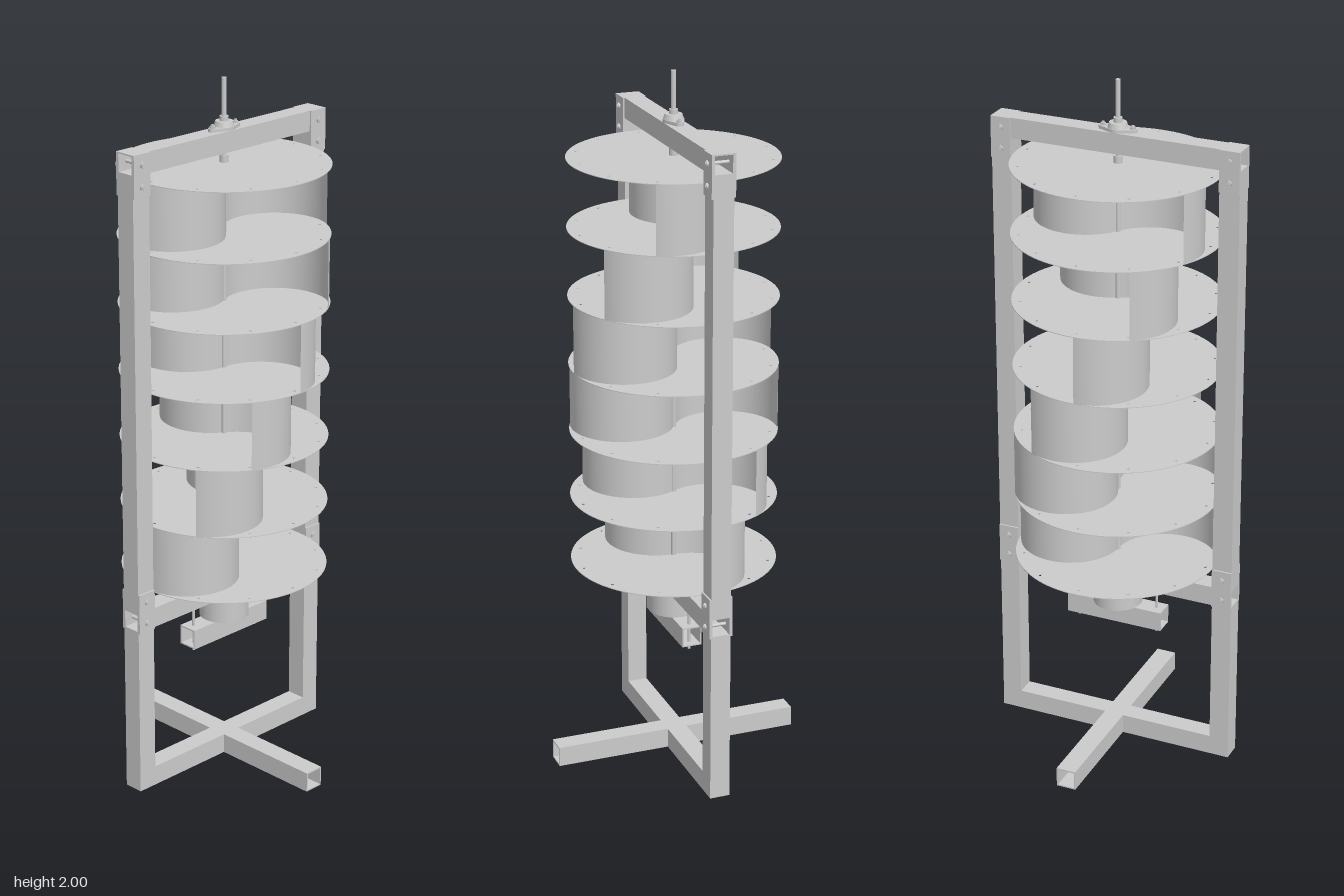
import * as THREE from 'three';

const mat = new THREE.MeshStandardMaterial({ color: 0xcccccc });
const thin = new THREE.MeshStandardMaterial({ color: 0xcccccc, side: THREE.DoubleSide });
const HALF = 0.029; // half width of the square tubing

function add(parent, name, geo, x = 0, y = 0, z = 0, m = mat) {
  const mesh = new THREE.Mesh(geo, m);
  mesh.name = name;
  mesh.position.set(x, y, z);
  parent.add(mesh);
  return mesh;
}

// Open square tube of the given length, centred, running along an axis
function tube(length, axis) {
  const square = (h) => [[-h, -h], [h, -h], [h, h], [-h, h]].map((p) => new THREE.Vector2(...p));
  const s = new THREE.Shape(square(HALF));
  s.holes.push(new THREE.Path(square(HALF - 0.004).reverse()));
  const g = new THREE.ExtrudeGeometry(s, { depth: length, bevelEnabled: false });
  g.translate(0, 0, -length / 2);
  if (axis === 'x') g.rotateY(Math.PI / 2);
  if (axis === 'y') g.rotateX(Math.PI / 2);
  return g;
}

const rod = (r, h, sides = 20) => new THREE.CylinderGeometry(r, r, h, sides);

// Flat shape lying in the horizontal plane with round holes
function flatPlate(shape, holes, r, depth) {
  for (const [x, y] of holes) {
    const p = new THREE.Path();
    p.absarc(x, y, r, 0, Math.PI * 2, true);
    shape.holes.push(p);
  }
  const g = new THREE.ExtrudeGeometry(shape, { depth, bevelEnabled: false, curveSegments: 48 });
  return g.rotateX(-Math.PI / 2);
}

function buildFrame() {
  const g = new THREE.Group();
  g.name = 'frame';
  add(g, 'topBeam', tube(0.724, 'x'), 0, 1.83, 0);
  add(g, 'middleBeam', tube(0.724, 'x'), 0, 0.524, 0);
  add(g, 'baseBeam', tube(0.61, 'x'), 0, HALF, 0);
  for (const s of [-1, 1]) {
    add(g, 'upperPost', tube(1.248, 'y'), s * 0.333, 1.177, 0);
    add(g, 'lowerPost', tube(0.495, 'y'), s * 0.333, 0.2475, 0);
    add(g, 'baseFoot', tube(0.333, 'z'), 0, HALF, s * 0.1955);
    // Splice plates and their bolts at each corner
    for (const [plateY, boltYs] of [[1.8, [1.77, 1.83]], [0.552, [0.52, 0.583]]]) {
      for (const f of [-1, 1]) {
        add(g, 'cornerPlate', new THREE.BoxGeometry(0.058, 0.118, 0.005), s * 0.333, plateY, f * 0.0315);
      }
      for (const y of boltYs) {
        add(g, 'cornerBolt', rod(0.005, 0.084, 12), s * 0.333, y, 0).rotation.x = Math.PI / 2;
        for (const f of [-1, 1]) {
          add(g, 'cornerNut', rod(0.009, 0.006, 6), s * 0.333, y, f * 0.037).rotation.x = Math.PI / 2;
        }
      }
    }
  }
  return g;
}

function buildRotor() {
  const g = new THREE.Group();
  g.name = 'rotor';
  const stages = 6, pitch = 0.195, base = 0.594, R = 0.292;
  const angles = Array.from({ length: 12 }, (_, i) => i * Math.PI / 6);
  const disc = flatPlate(new THREE.Shape().absarc(0, 0, R, 0, Math.PI * 2),
    angles.map((a) => [0.27 * Math.cos(a), 0.27 * Math.sin(a)]), 0.004, 0.002);
  for (let i = 0; i <= stages; i++) add(g, 'disc', disc, 0, base + i * pitch, 0);

  // Paired half-round scoops, each stage turned a further 30 degrees
  const scoop = new THREE.CylinderGeometry(R / 2, R / 2, pitch - 0.002, 40, 1, true, Math.PI / 2, Math.PI);
  for (let i = 0; i < stages; i++) {
    const stage = new THREE.Group();
    stage.name = 'scoopStage';
    stage.position.y = base + (i + 0.5) * pitch + 0.001;
    stage.rotation.y = i * Math.PI / 6;
    add(stage, 'scoop', scoop, R / 2, 0, 0, thin);
    add(stage, 'scoop', scoop, -R / 2, 0, 0, thin).rotation.y = Math.PI;
    g.add(stage);
  }
  add(g, 'shaft', rod(0.007, 1.51), 0, 1.245, 0);
  add(g, 'lowerCollar', rod(0.012, 0.028), 0, 0.578, 0);
  add(g, 'upperCollar', rod(0.012, 0.02), 0, 1.778, 0);
  return g;
}

function buildBearing() {
  const g = new THREE.Group();
  g.name = 'topBearing';
  // Lozenge flange: two small round ends blended into a larger middle
  const s = new THREE.Shape();
  const a = 1.18, b = 1.2;
  s.absarc(0.043, 0, 0.012, -b, b, false);
  s.absarc(0, 0, 0.029, a, Math.PI - a, false);
  s.absarc(-0.043, 0, 0.012, Math.PI - b, Math.PI + b, false);
  s.absarc(0, 0, 0.029, Math.PI + a, 2 * Math.PI - a, false);
  add(g, 'flange', flatPlate(s, [], 0, 0.009), 0, 1.859, 0);
  add(g, 'bearingHousing', new THREE.CylinderGeometry(0.024, 0.028, 0.014, 32), 0, 1.875, 0);
  add(g, 'bearingCollar', rod(0.012, 0.014), 0, 1.888, 0);
  for (const x of [-0.043, 0.043]) {
    add(g, 'flangeBolt', rod(0.004, 0.086, 12), x, 1.835, 0);
    add(g, 'flangeBoltHead', rod(0.008, 0.006, 6), x, 1.871, 0);
    add(g, 'flangeNut', rod(0.008, 0.006, 6), x, 1.798, 0);
  }
  return g;
}

function buildGenerator() {
  const g = new THREE.Group();
  g.name = 'generatorMount';
  add(g, 'generator', rod(0.071, 0.065, 40), 0, 0.4625, 0);
  add(g, 'supportBar', tube(0.292, 'x'), 0, 0.401, 0);
  for (const x of [-0.122, 0.122]) {
    add(g, 'hangerRod', rod(0.004, 0.204, 12), x, 0.456, 0);
    add(g, 'hangerNut', rod(0.008, 0.006, 6), x, 0.556, 0);
    add(g, 'hangerNut', rod(0.008, 0.006, 6), x, 0.369, 0);
  }
  return g;
}

export function createModel() {
  const model = new THREE.Group();
  model.name = 'verticalWindTurbine';
  model.add(buildFrame(), buildRotor(), buildBearing(), buildGenerator());
  return model;
}
